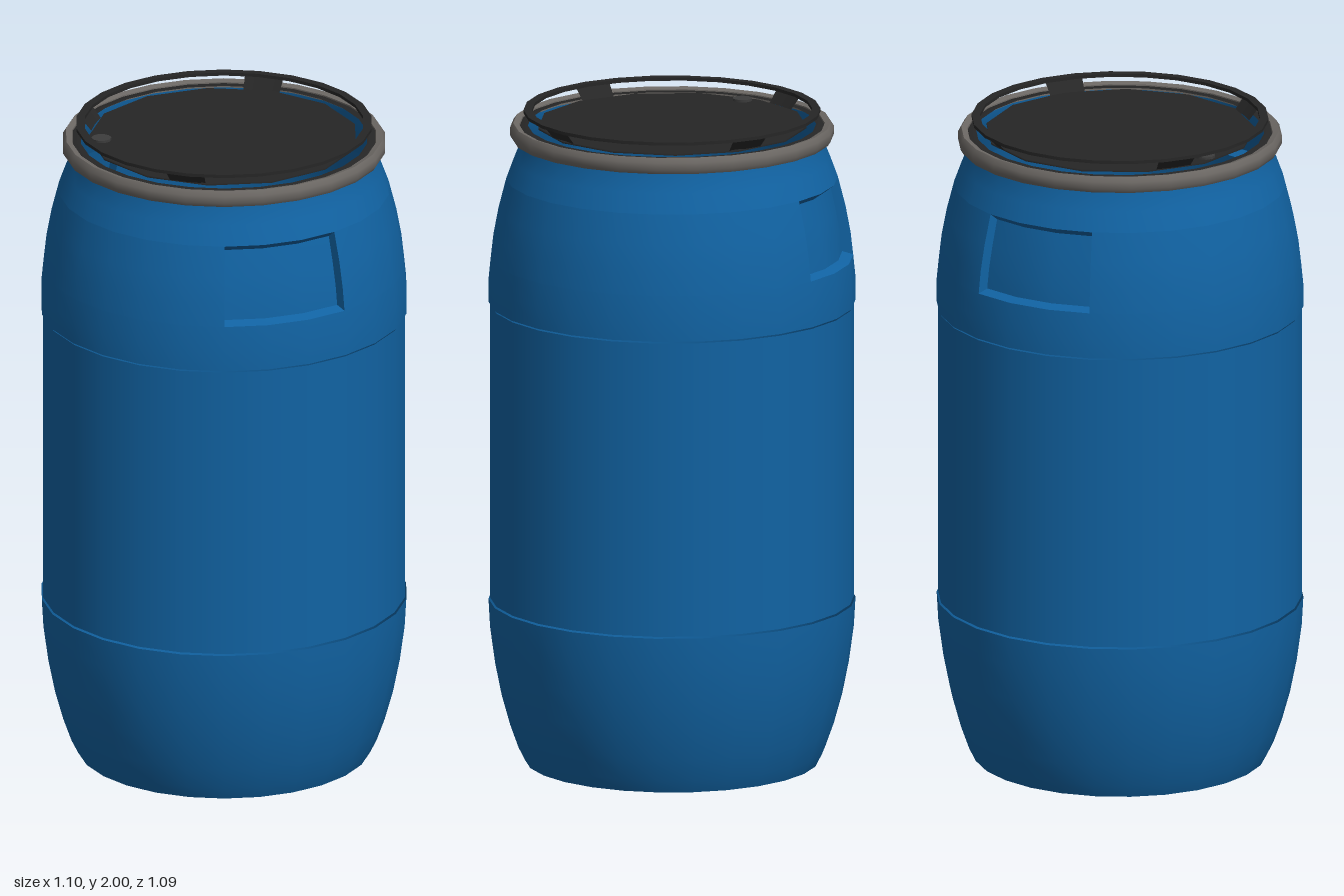
import * as THREE from 'three';
import { toCreasedNormals } from 'three/addons/utils/BufferGeometryUtils.js';

const SIDES = 26;
const STEP = (Math.PI * 2) / SIDES;

const flat = (name, color) => {
  const m = new THREE.MeshStandardMaterial({ color, side: THREE.DoubleSide });
  m.name = name;
  return m;
};

export function createModel() {
  const blue = flat('blue plastic', 0x1163a3);
  const black = flat('black plastic', 0x262626);
  const grey = flat('grey metal', 0x6c6864);
  const darkGrey = flat('dark grey', 0x3c3c3c);

  const barrel = new THREE.Group();
  barrel.name = 'barrel';

  const add = (name, geometry, material) => {
    const mesh = new THREE.Mesh(geometry, material);
    mesh.name = name;
    barrel.add(mesh);
    return mesh;
  };
  const points = (profile) => profile.map(([r, y]) => new THREE.Vector2(r, y));
  // Turned part over a whole number of columns, starting at angle phi from +z
  const turned = (profile, cols = SIDES, phi = Math.PI / 2) =>
    new THREE.LatheGeometry(points(profile), cols, phi, cols * STEP);

  // Lower, middle and upper walls, parted by thin seams
  add('lowerBody', turned([[0.44, 0], [0.46, 0.04], [0.485, 0.11], [0.51, 0.2],
    [0.53, 0.3], [0.545, 0.41], [0.55, 0.498]]), blue);
  add('middleBody', turned([[0.546, 0.503], [0.546, 1.405]]), blue);
  add('shoulderBase', turned([[0.55, 1.411], [0.55, 1.48], [0.543, 1.55]]), blue);
  add('shoulderTop', turned([[0.497, 1.79], [0.475, 1.85], [0.455, 1.9], [0.452, 1.94]]), blue);

  // Recessed underside
  add('base', toCreasedNormals(
    turned([[0, 0.03], [0.39, 0.04], [0.42, 0.0], [0.44, 0]]), 0.5), blue);

  // Shoulder band, interrupted front and back by sunken grips three columns wide
  const outer = [[0.543, 1.55], [0.535, 1.62], [0.52, 1.7], [0.497, 1.79]];
  const inner = [[0.543, 1.55], [0.51, 1.56], [0.503, 1.62], [0.49, 1.69], [0.472, 1.77], [0.497, 1.79]];
  const cheek = new THREE.Shape(points([...outer, ...inner.slice(1, -1).reverse()]));
  for (const [side, mid] of [['front', 0], ['back', Math.PI]]) {
    add(side + 'ShoulderBand', turned(outer, 10, mid + 1.5 * STEP), blue);
    add(side + 'Grip', toCreasedNormals(turned(inner, 3, mid - 1.5 * STEP), 0.6), blue);
    for (const s of [-1, 1]) {
      const wall = add(side + 'GripWall', new THREE.ShapeGeometry(cheek), blue);
      wall.rotation.y = mid + s * 1.5 * STEP - Math.PI / 2;
    }
  }

  // Clamping ring round the neck
  add('clampRing', toCreasedNormals(turned([[0.455, 1.91], [0.478, 1.91], [0.486, 1.923],
    [0.486, 1.945], [0.476, 1.96], [0.458, 1.955], [0.455, 1.91]]), 0.7), grey);

  // Lid: sunken plate, seat and raised thin rim
  add('lidPlate', new THREE.LatheGeometry(points([[0.405, 1.95], [0.405, 1.957], [0, 1.953]]), 13), black);
  add('lidSeat', turned([[0.456, 1.946], [0.456, 1.952], [0.432, 1.952]]), black);
  add('lidRim', toCreasedNormals(
    turned([[0.42, 1.99], [0.445, 1.99], [0.445, 2], [0.42, 2], [0.42, 1.99]]), 0.5), black);

  // Sloping webs between plate and rim
  for (const phi of [0.8, 2.35, 3.95, 5.5]) {
    const web = new THREE.LatheGeometry(points([[0.4, 1.955], [0.43, 1.992]]), 2, phi, 0.28);
    add('lidWeb', web, black);
  }

  // Small plug on the lid
  const plug = add('lidPlug', new THREE.CylinderGeometry(0.03, 0.03, 0.008, 10), darkGrey);
  plug.position.set(-0.355, 1.96, -0.1);

  return barrel;
}
